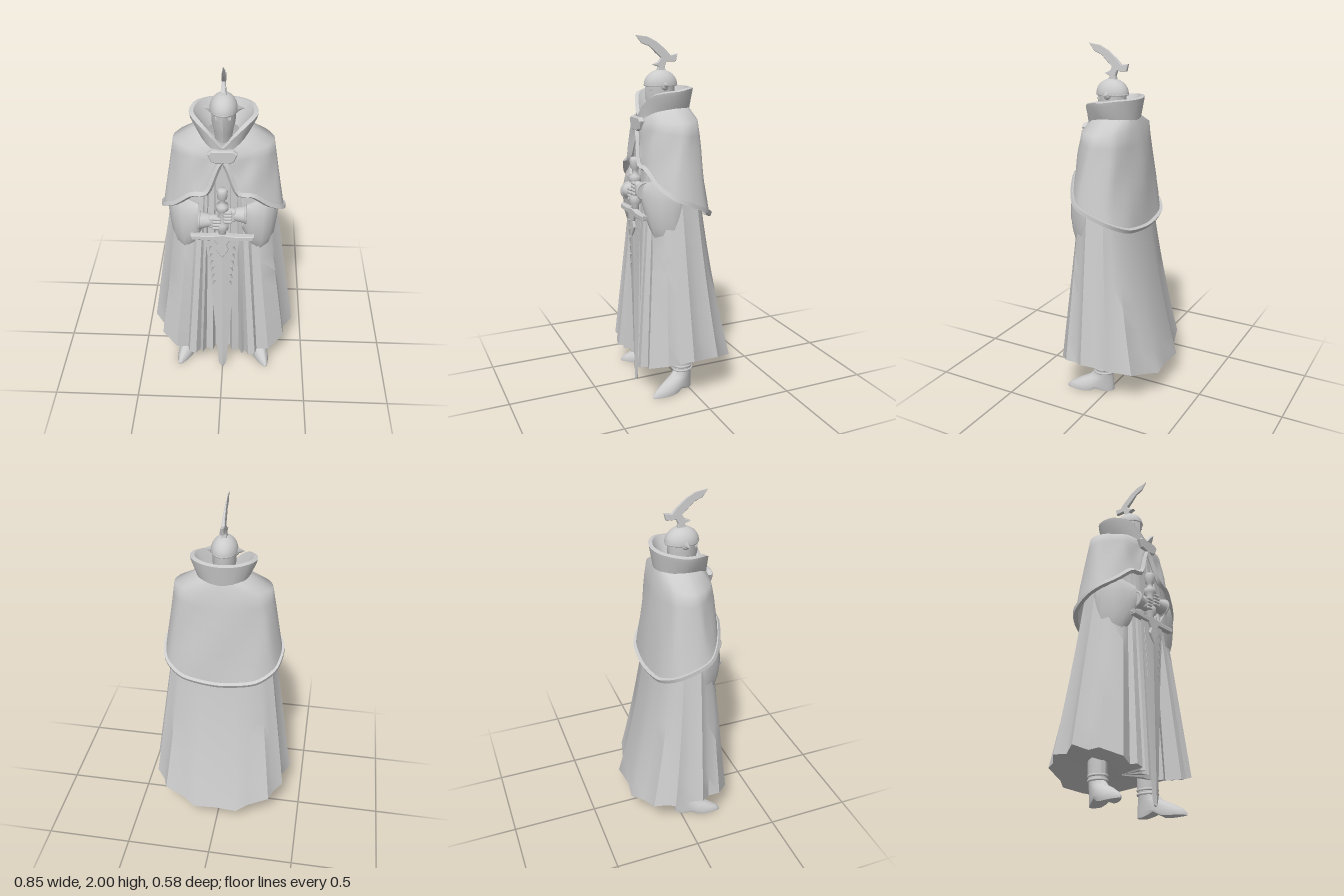
import * as THREE from 'three';
import { toCreasedNormals } from 'three/addons/utils/BufferGeometryUtils.js';
import { RoundedBoxGeometry } from 'three/addons/geometries/RoundedBoxGeometry.js';

const solid = new THREE.MeshStandardMaterial({ color: 0xcccccc });
const cloth = new THREE.MeshStandardMaterial({ color: 0xcccccc, side: THREE.DoubleSide });
const V = (x, y, z) => new THREE.Vector3(x, y, z);
const lerp = THREE.MathUtils.lerp;

// Skin through closed rings of equal length, listed from top to bottom
function loft(rows, { cap = null, topCap = null, crease = 0.6 } = {}) {
  const n = rows[0].length, pts = rows.flat(), index = [];
  for (let i = 0; i < rows.length - 1; i++) {
    for (let j = 0; j < n; j++) {
      const k = (j + 1) % n, a = i * n + j, b = i * n + k, c = a + n, d = b + n;
      index.push(a, c, d, a, d, b);
    }
  }
  const fan = (center, start, flip) => {
    pts.push(center);
    for (let j = 0; j < n; j++) {
      const a = start + j, b = start + (j + 1) % n;
      index.push(pts.length - 1, flip ? a : b, flip ? b : a);
    }
  };
  if (cap) fan(cap, (rows.length - 1) * n, false);
  if (topCap) fan(topCap, 0, true);
  const g = new THREE.BufferGeometry().setFromPoints(pts);
  g.setIndex(index);
  return toCreasedNormals(g, crease);
}

// Closed curve from its left half: [x, y, z] from front centre to back centre
function mirrored(half) {
  const left = half.map(p => V(...p));
  const right = left.slice(1, -1).reverse().map(p => V(-p.x, p.y, p.z));
  return new THREE.CatmullRomCurve3([...left, ...right], true, 'catmullrom', 0.4);
}
const sample = (curve, n) => Array.from({ length: n }, (_, i) => curve.getPoint(i / n));
const ellipse = (n, f) => Array.from({ length: n }, (_, i) => {
  const a = i / n * Math.PI * 2;
  return f(Math.sin(a), Math.cos(a));
});
const outline = pts => new THREE.Shape(pts.map(p => new THREE.Vector2(...p)));

export function createModel() {
  const model = new THREE.Group();
  const add = (name, geo, pos = [0, 0, 0], parent = model, mat = solid) => {
    const m = new THREE.Mesh(geo, mat);
    m.name = name;
    m.position.set(...pos);
    parent.add(m);
    return m;
  };

  // Robe: smooth at the chest, spreading into pleats at the hem
  const hemHalf = [[0, .2], [.045, .2], [.06, .25], [.1, .23], [.12, .275], [.135, .25], [.16, .29],
    [.2, .29], [.21, .25], [.28, .27], [.37, .19], [.37, .12], [.425, .06], [.38, -.02], [.395, -.1],
    [.345, -.15], [.32, -.21], [.2, -.24], [.13, -.29], [0, -.27]];
  const hem = [...hemHalf, ...hemHalf.slice(1, -1).reverse().map(([x, z]) => [-x, z])];
  const robeRows = [];
  for (let i = 0; i <= 10; i++) {
    const t = i / 10;
    robeRows.push(hem.map(([x, z]) => {
      const a = Math.atan2(x / .42, z / .29), c = Math.cos(a);
      const zTop = .05 + .13 * Math.sign(c) * Math.abs(c) ** .8;
      const y0 = .145 + .115 * (x / .42) ** 2;
      return V(lerp(.25 * Math.sin(a), x, t), lerp(1.5, y0, t), lerp(zTop, z, z > 0 ? t : t ** 1.7));
    }));
  }
  add('robe', loft(robeRows, { cap: V(0, .2, 0), crease: .75 }), [0, 0, 0], model, cloth);

  // Shoulder mantle, parted at the front and falling low at the back
  const neck = mirrored([[0, 1.57, .2], [.06, 1.58, .185], [.1, 1.6, .15], [.13, 1.61, .1], [.14, 1.62, .05],
    [.13, 1.62, 0], [.1, 1.62, -.04], [.06, 1.62, -.065], [0, 1.62, -.075]]);
  const shoulder = mirrored([[0, 1.55, .21], [.09, 1.54, .205], [.17, 1.55, .175], [.24, 1.55, .12], [.268, 1.55, .06],
    [.262, 1.55, .01], [.21, 1.56, -.05], [.12, 1.56, -.082], [0, 1.57, -.092]]);
  const mantleHem = mirrored([[0, 1.5, .215], [.08, 1.32, .235], [.16, 1.3, .225], [.25, 1.22, .19], [.32, 1.165, .13],
    [.335, 1.13, .05], [.305, 1.08, -.06], [.2, 1.03, -.13], [0, 1.01, -.15]]);
  const N = 64, top = sample(shoulder, N), low = sample(mantleHem, N);
  const mantleRows = [sample(neck, N)];
  for (let i = 0; i <= 6; i++) {
    mantleRows.push(top.map((p, j) => {
      const q = p.clone().lerp(low[j], i / 6);
      q.z += .007 * Math.sin(i / 6 * Math.PI) * Math.sin(j / N * Math.PI * 14 + i * .6);
      return q;
    }));
  }
  add('mantle', loft(mantleRows, { crease: 1.2 }), [0, 0, 0], model, cloth);
  add('mantleTrim', toCreasedNormals(new THREE.TubeGeometry(mantleHem, 72, .016, 4, true), .6));

  // Flared collar with a thick rim
  const rim = mirrored([[0, 1.575, .215], [.055, 1.63, .205], [.12, 1.685, .175], [.172, 1.705, .1], [.18, 1.71, .04],
    [.155, 1.72, -.03], [.09, 1.72, -.08], [0, 1.72, -.1]]);
  const base = mirrored([[0, 1.54, .21], [.05, 1.56, .2], [.1, 1.59, .16], [.13, 1.6, .09], [.137, 1.6, .04],
    [.12, 1.6, -.02], [.07, 1.6, -.065], [0, 1.6, -.08]]);
  const shrink = (row, s, dy) => row.map(p => V(p.x * s, p.y + dy, .06 + (p.z - .06) * s));
  const rimRow = sample(rim, 32), baseRow = sample(base, 32);
  add('collar', loft([shrink(baseRow, .6, 0), shrink(rimRow, .87, .005), rimRow, shrink(rimRow, .98, -.02), baseRow]),
    [0, 0, 0], model, cloth);

  // Clasp: a faceted plate, wider at the top
  const clasp = outline([[-.072, 1.548], [-.055, 1.562], [.055, 1.562], [.072, 1.548], [.055, 1.508], [.03, 1.498],
    [-.03, 1.498], [-.055, 1.508]]);
  add('clasp', new THREE.ExtrudeGeometry(clasp, { depth: .02, bevelSize: .006, bevelThickness: .006, bevelSegments: 1 }),
    [0, 0, .205]);

  // Head: face guard, dome, brim, ear fins
  const head = new THREE.Group();
  head.name = 'head';
  head.position.set(0, 1.735, .075);
  model.add(head);
  const face = ellipse(20, (s, c) => [s * .064, c > 0 ? c * .075 + .018 * c ** 8 : c * .08]);
  add('faceGuard', loft([[.01, 1], [-.07, .98], [-.12, .8], [-.17, .7]].map(([y, k]) =>
    face.map(([x, z]) => V(x * k, y, z * k))), { cap: V(0, -.17, 0) }), [0, 0, 0], head);
  add('helmetDome', new THREE.SphereGeometry(1, 24, 10, 0, Math.PI * 2, 0, Math.PI / 2), [0, 0, 0], head, cloth)
    .scale.set(.073, .083, .095);
  const brim = add('helmetBrim', new THREE.TorusGeometry(1, .05, 6, 28), [0, 0, 0], head);
  brim.rotation.x = Math.PI / 2;
  brim.scale.set(.07, .092, .1);
  add('eyeSlit', new THREE.BoxGeometry(.08, .012, .02), [0, -.025, .065], head);
  for (const s of [-1, 1]) {
    const fin = add('earFin', new THREE.ConeGeometry(.022, .045, 4), [s * .087, .002, 0], head);
    fin.rotation.z = -s * Math.PI / 2;
    add('earDisc', new THREE.SphereGeometry(.022, 10, 8), [s * .058, -.005, 0], head);
  }

  // Curved blade crest in side profile, thinning toward the tip
  const crestShape = outline([[.215, 2], [.15, 1.99], [.1, 1.965], [.05, 1.925], [.018, 1.89], [-.022, 1.898],
    [-.012, 1.863], [.045, 1.862], [.055, 1.835], [.05, 1.8], [.1, 1.8], [.085, 1.835], [.118, 1.845],
    [.085, 1.858], [.07, 1.882], [.1, 1.908], [.14, 1.945], [.185, 1.962]]);
  const crestGeo = new THREE.ExtrudeGeometry(crestShape,
    { depth: .014, bevelEnabled: true, bevelSize: .003, bevelThickness: .005, bevelSegments: 1 });
  crestGeo.translate(0, 0, -.007).rotateY(-Math.PI / 2);
  const crestPos = crestGeo.attributes.position;
  for (let i = 0; i < crestPos.count; i++) {
    crestPos.setX(i, crestPos.getX(i) * THREE.MathUtils.mapLinear(crestPos.getY(i), 1.8, 2, 1.3, .15));
  }
  crestGeo.computeVertexNormals();
  add('crest', crestGeo);

  // Greatsword held point down
  const sword = new THREE.Group();
  sword.name = 'sword';
  sword.position.z = .24;
  model.add(sword);
  add('blade', loft([[1.02, .095], [.7, .066], [.15, .031], [.04, .024], [.01, .014], [0, .004]].map(([y, w]) =>
    [V(0, y, .009), V(w, y, 0), V(0, y, -.009), V(-w, y, 0)]), { cap: V(0, 0, 0), crease: .2 }), [0, 0, 0], sword);
  for (const s of [-1, 1]) {
    for (let i = 0; i < 6; i++) {
      const barb = add('bladeBarb', new THREE.ConeGeometry(.007, .045, 4), [s * (.07 - i * .004), .95 - i * .05, .004], sword);
      barb.rotation.z = s * -2.8;
    }
    add('guardTip', new THREE.SphereGeometry(.014, 10, 8), [s * .16, 1.033, 0], sword);
  }
  const guard = outline([[-.17, 1.043], [-.07, 1.04], [0, 1.05], [.07, 1.04], [.17, 1.043], [.165, 1.022],
    [.04, 1.018], [.02, .985], [.032, .95], [0, .9], [-.032, .95], [-.02, .985], [-.04, 1.018], [-.165, 1.022]]);
  add('guard', new THREE.ExtrudeGeometry(guard, { depth: .028, bevelSize: .004, bevelThickness: .004, bevelSegments: 1 }),
    [0, 0, -.014], sword);
  add('grip', new THREE.LatheGeometry([[0, 1.03], [.022, 1.03], [.02, 1.07], [.034, 1.085], [.034, 1.12], [.02, 1.13],
    [.02, 1.2], [.034, 1.21], [.034, 1.24], [.015, 1.25], [.015, 1.275], [.026, 1.285], [.03, 1.325], [.022, 1.343],
    [0, 1.345]].map(p => new THREE.Vector2(...p)), 14), [0, 0, -.008], sword);

  for (const s of [-1, 1]) {
    const side = new THREE.Group();
    side.name = s > 0 ? 'leftLimbs' : 'rightLimbs';
    side.scale.x = s;
    model.add(side);

    // Wide sleeve sagging below the forearm: x, centre y, centre z, half height, half depth
    const sleeve = [[.295, 1.08, .1, .12, .03], [.265, 1.07, .13, .17, .06], [.22, 1.07, .16, .19, .065],
      [.16, 1.1, .185, .14, .05], [.12, 1.15, .205, .075, .04]].map(([x, y, z, ry, rz]) =>
      ellipse(14, (a, c) => V(x + .012 * a, y + ry * a, z + rz * c)));
    add('sleeve', loft(sleeve, { cap: V(.14, 1.15, .2), topCap: V(.3, 1.08, .1), crease: 1 }), [0, 0, 0], side, cloth);

    // Gauntlet: cuff, wrist and fingers closed on the grip, one hand above the other
    const hy = s > 0 ? 1.175 : 1.13;
    const cuff = add('cuff', new THREE.CylinderGeometry(.034, .05, .07, 14), [.095, hy, .222], side);
    cuff.rotation.z = Math.PI / 2;
    const ring = add('cuffRing', new THREE.TorusGeometry(.046, .008, 6, 16), [.125, hy, .222], side);
    ring.rotation.y = Math.PI / 2;
    add('palm', new RoundedBoxGeometry(.06, .08, .045, 2, .018), [.048, hy, .232], side);
    for (let i = 0; i < 4; i++) {
      const finger = add('finger', new THREE.CapsuleGeometry(.0095, .03, 3, 8), [.03, hy + .03 - i * .02, .253], side);
      finger.rotation.z = Math.PI / 2;
    }

    // Boot: height, back z, front z, half width, ending in an arched sole
    const boot = new THREE.Group();
    boot.name = 'boot';
    boot.position.set(.202, 0, .03);
    boot.rotation.y = .32;
    side.add(boot);
    const bootRows = [[.3, -.06, .06, .05], [.16, -.06, .06, .05], [.12, -.052, .057, .046], [.09, -.055, .09, .046],
      [.065, -.058, .145, .048], [.035, -.06, .2, .05], [.012, -.06, .222, .05], [0, -.06, .222, .048]].map(([y, b, f, w], i) =>
      ellipse(24, (a, c) => {
        const z = (b + f) / 2 + (f - b) / 2 * c;
        const arch = i === 7 ? .024 : i === 6 ? .015 : 0;
        return V(w * a * (c > 0 ? 1 - .35 * c * c : 1), y + arch * Math.exp(-(((z - .04) / .03) ** 2)), z);
      }));
    add('bootBody', loft(bootRows, { cap: V(0, .02, .05), crease: .8 }), [0, 0, 0], boot, cloth);
    for (const y of [.125, .148]) {
      const band = add('bootBand', new THREE.TorusGeometry(1, .12, 6, 20), [0, y, 0], boot);
      band.rotation.x = Math.PI / 2;
      band.scale.set(.048, .057, .06);
    }
  }
  return model;
}
